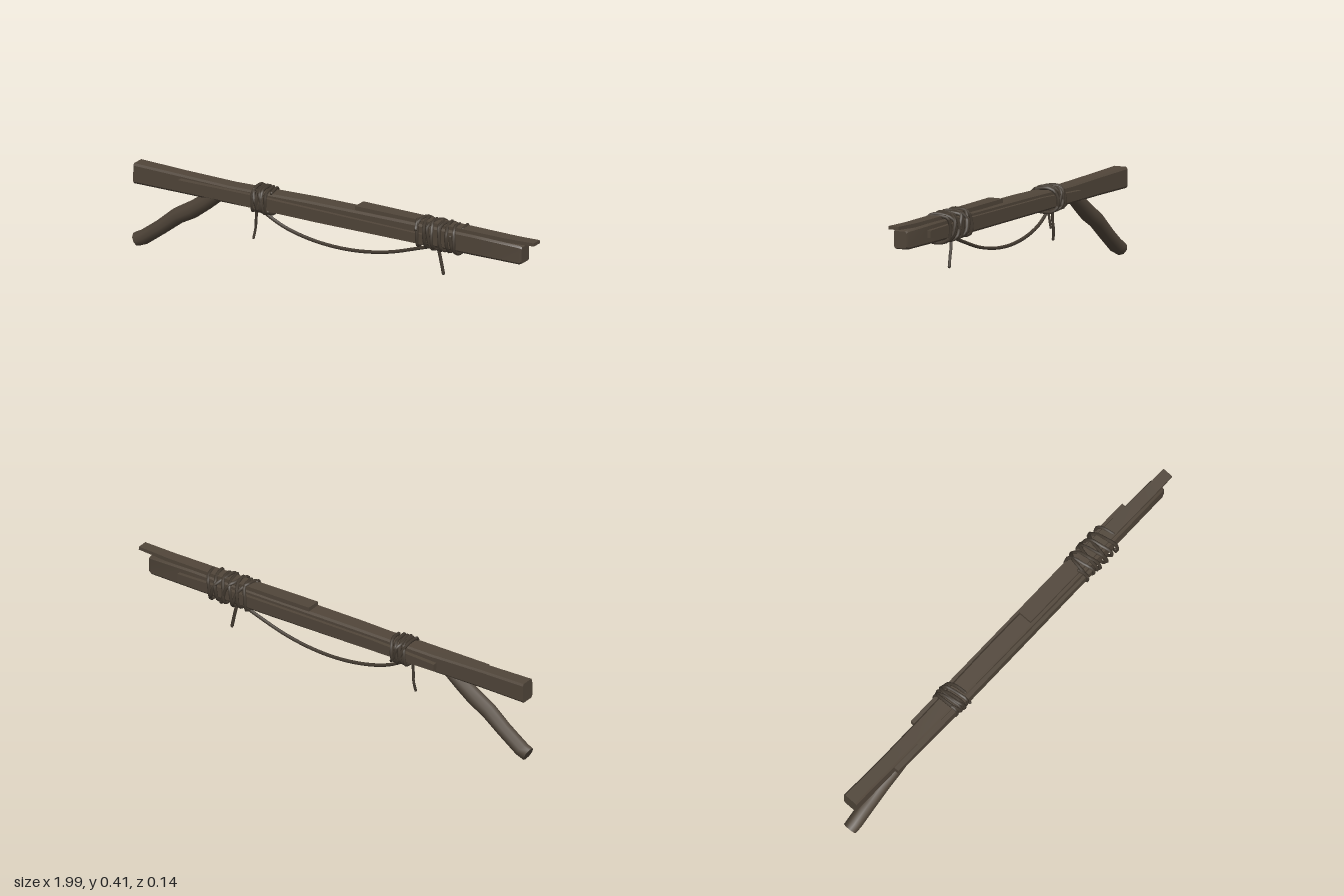
import * as THREE from 'three';
import { toCreasedNormals } from 'three/addons/utils/BufferGeometryUtils.js';

const wood = new THREE.MeshStandardMaterial({ color: 0x51463a });
const rope = new THREE.MeshStandardMaterial({ color: 0x443b31 });
wood.name = 'weathered wood';
rope.name = 'dark rope';

// Cross-sections as [across, sideways] in half sizes
const squared = [[1, -0.8], [1, 0.8], [0.8, 1], [-0.8, 1], [-1, 0.8], [-1, -0.8], [-0.8, -1], [0.8, -1]];
const plank = [[1, -1], [1, 1], [-1, 1], [-1, -1]];
const round = Array.from({ length: 9 }, (_, i) => {
  const a = (i / 9) * Math.PI * 2;
  return [Math.cos(a), Math.sin(a)];
});

// Sweeps a cross-section along stations [x, y, z, half height, half depth]
function loft(name, stations, ring, crease = 0.5) {
  const pos = [];
  const index = [];
  const n = ring.length;
  const last = stations.length - 1;
  stations.forEach(([x, y, z, h, w], i) => {
    const a = stations[Math.max(0, i - 1)];
    const b = stations[Math.min(last, i + 1)];
    const len = Math.hypot(b[0] - a[0], b[1] - a[1]);
    const tx = (b[0] - a[0]) / len;
    const ty = (b[1] - a[1]) / len;
    for (const [u, v] of ring) pos.push(x - ty * u * h, y + tx * u * h, z + v * w);
  });
  for (let i = 0; i < last; i++) {
    for (let j = 0; j < n; j++) {
      const a = i * n + j;
      const b = i * n + ((j + 1) % n);
      index.push(a, b, a + n, b, b + n, a + n);
    }
  }
  // End caps
  for (let j = 1; j < n - 1; j++) {
    index.push(0, j + 1, j);
    index.push(last * n, last * n + j, last * n + j + 1);
  }
  const geo = new THREE.BufferGeometry();
  geo.setAttribute('position', new THREE.Float32BufferAttribute(pos, 3));
  geo.setIndex(index);
  geo.computeVertexNormals();
  const mesh = new THREE.Mesh(toCreasedNormals(geo, crease), wood);
  mesh.name = name;
  return mesh;
}

// Rope through points, with closed ends
function cord(name, points, radius, segments) {
  const curve = new THREE.CatmullRomCurve3(points.map((p) => new THREE.Vector3(...p)));
  const group = new THREE.Group();
  group.name = name;
  group.add(new THREE.Mesh(new THREE.TubeGeometry(curve, segments, radius, 6), rope));
  for (const t of [0, 1]) {
    const end = new THREE.Mesh(new THREE.SphereGeometry(radius, 6, 4), rope);
    end.position.copy(curve.getPoint(t));
    group.add(end);
  }
  return group;
}

// Uneven coils around the beam between two x positions
function coil(name, x0, x1, turns, cy, hy, hz, tilt, phase) {
  const steps = turns * 12;
  const points = [];
  for (let i = 0; i <= steps; i++) {
    const a = (i / 12) * Math.PI * 2 + phase;
    const c = Math.cos(a);
    const s = Math.sin(a);
    const wobble = 1 + 0.05 * Math.sin(i * 1.9 + phase);
    points.push([
      x0 + (x1 - x0) * (i / steps) + tilt * Math.sin(a + phase),
      cy + Math.sign(c) * Math.abs(c) ** 0.65 * hy * wobble,
      Math.sign(s) * Math.abs(s) ** 0.65 * hz * wobble,
    ]);
  }
  return cord(name, points, 0.0075, steps * 2);
}

export function createModel() {
  const model = new THREE.Group();
  model.name = 'lashedWoodenStock';

  // Main beam, slightly crooked
  model.add(loft('mainBeam', [
    [-0.97, 0.333, 0, 0.045, 0.035],
    [-0.75, 0.332, 0.002, 0.042, 0.033],
    [-0.5, 0.331, 0.002, 0.039, 0.036],
    [-0.1, 0.338, 0, 0.043, 0.04],
    [0.35, 0.341, 0, 0.045, 0.04],
    [0.7, 0.343, 0.002, 0.045, 0.037],
    [0.93, 0.343, 0.003, 0.042, 0.035],
    [0.943, 0.343, 0.003, 0.036, 0.03],
  ], squared));

  // Angled branch at the rear
  model.add(loft('branch', [
    [-0.55, 0.325, 0.005, 0.03, 0.033],
    [-0.63, 0.265, 0.004, 0.035, 0.035],
    [-0.7, 0.215, 0.003, 0.038, 0.035],
    [-0.77, 0.175, 0.002, 0.036, 0.035],
    [-0.85, 0.11, 0.001, 0.033, 0.034],
    [-0.94, 0.044, 0.001, 0.033, 0.034],
    [-0.973, 0.029, 0.001, 0.031, 0.032],
  ], round, 0.8));

  // Splints along the front, back and top
  model.add(loft('frontSplint', [
    [-0.735, 0.342, 0.045, 0.016, 0.014],
    [-0.4, 0.333, 0.045, 0.028, 0.014],
    [-0.05, 0.329, 0.043, 0.027, 0.013],
    [0.48, 0.327, 0.041, 0.022, 0.012],
  ], plank));
  model.add(loft('backSplint', [
    [-0.53, 0.328, -0.047, 0.016, 0.01],
    [-0.2, 0.335, -0.045, 0.025, 0.009],
    [0.4, 0.342, -0.046, 0.025, 0.009],
    [0.78, 0.347, -0.046, 0.016, 0.008],
  ], plank));
  model.add(loft('topSplint', [
    [0.12, 0.393, -0.004, 0.009, 0.033],
    [0.5, 0.392, -0.002, 0.01, 0.03],
    [0.85, 0.394, 0.002, 0.009, 0.027],
    [0.92, 0.397, 0.004, 0.008, 0.025],
    [1, 0.401, 0.004, 0.007, 0.024],
  ], plank));

  // Rope bindings
  model.add(coil('rearBinding', -0.385, -0.3, 4, 0.333, 0.049, 0.06, 0.012, 0.4));
  model.add(coil('rearCrossBinding', -0.31, -0.365, 2, 0.333, 0.051, 0.062, -0.025, 2));
  model.add(coil('frontBinding', 0.42, 0.64, 6, 0.345, 0.057, 0.06, 0.014, 0.2));
  model.add(coil('frontCrossBinding', 0.62, 0.45, 3, 0.345, 0.058, 0.062, -0.022, 1.3));

  // Slack cord between the bindings
  model.add(cord('slackCord', [
    [-0.36, 0.292, 0.01], [-0.32, 0.262, 0.004], [-0.24, 0.224, 0], [-0.12, 0.195, -0.003],
    [0.01, 0.184, -0.005], [0.14, 0.191, -0.005], [0.27, 0.215, -0.004],
    [0.4, 0.256, -0.003], [0.5, 0.291, 0],
  ], 0.0075, 40));

  // Loose rope ends
  model.add(cord('rearLooseEnd', [
    [-0.385, 0.295, 0], [-0.384, 0.24, 0.003], [-0.389, 0.19, 0], [-0.395, 0.15, 0.006],
  ], 0.006, 10));
  model.add(cord('rearShortEnd', [
    [-0.372, 0.29, 0.018], [-0.377, 0.24, 0.014], [-0.382, 0.202, 0.01],
  ], 0.006, 8));
  model.add(cord('frontLooseEnd', [
    [0.508, 0.29, -0.002], [0.516, 0.25, -0.006], [0.525, 0.21, -0.006], [0.533, 0.17, -0.007],
  ], 0.007, 10));

  return model;
}
